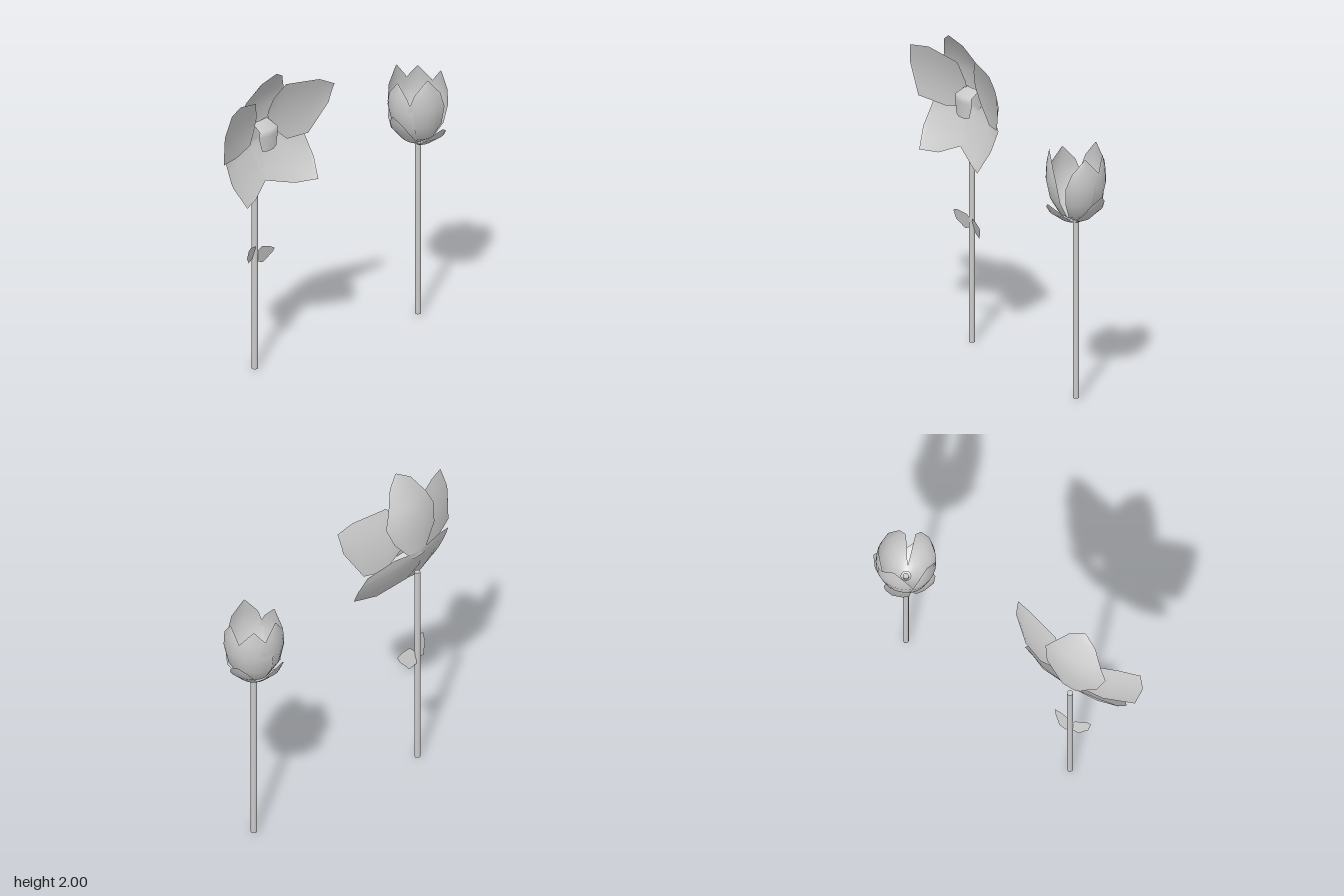
import * as THREE from 'three';

const material = new THREE.MeshStandardMaterial({ color: 0xcccccc, side: THREE.DoubleSide });

// Thin surface lofted across rows; point(row, u) gives [x, y, z] for u in -1..1
function sheet(name, rows, point, cols = 6) {
  const pos = [], index = [];
  rows.forEach((row, i) => {
    for (let j = 0; j <= cols; j++) {
      pos.push(...point(row, (j / cols) * 2 - 1));
      if (i && j) {
        const d = i * (cols + 1) + j, b = d - cols - 1;
        index.push(b - 1, b, d, b - 1, d, d - 1);
      }
    }
  });
  const g = new THREE.BufferGeometry();
  g.setAttribute('position', new THREE.Float32BufferAttribute(pos, 3));
  g.setIndex(index);
  g.computeVertexNormals();
  const mesh = new THREE.Mesh(g, material);
  mesh.name = name;
  return mesh;
}

// Petal whose rows run between two edge points [x, y], given depth by a rule
function openPetal(name, rows, depth) {
  return sheet(name, rows, ([a, b], u) => {
    const t = (u + 1) / 2;
    const x = a[0] + (b[0] - a[0]) * t, y = a[1] + (b[1] - a[1]) * t;
    return [x, y, depth(x, y)];
  });
}

// Cupped petal wrapped round the bud: rows of [height, radius, half width]
function budPetal(name, rows, degrees, stretch = 1) {
  const angle = THREE.MathUtils.degToRad(degrees);
  return sheet(name, rows, ([y, r, half], u) => {
    const a = angle + (u * half) / r;
    return [r * Math.cos(a), y * stretch, r * Math.sin(a)];
  });
}

function stem(name, bottom, top) {
  const mesh = new THREE.Mesh(new THREE.CylinderGeometry(0.019, 0.019, top - bottom, 8), material);
  mesh.position.y = (bottom + top) / 2;
  mesh.name = name;
  return mesh;
}

const mirrorRows = (half) => half.map(([x, y]) => [[-x, y], [x, y]]);

function createOpenFlower() {
  const flower = new THREE.Group();
  flower.name = 'openFlower';
  flower.position.x = -0.53;

  const flowerStem = stem('openFlowerStem', 0, 1.36);
  flowerStem.position.z = -0.18;
  flower.add(flowerStem);

  const head = new THREE.Group();
  head.name = 'openFlowerHead';
  head.position.y = 1.5;
  flower.add(head);

  // Depth rules: the petals form a shallow bowl facing forward
  const topDepth = (x, y) => -0.19 + 1.5 * Math.hypot(x, y) ** 3 + 0.5 * x * x;
  const sideDepth = (x, y) => -0.165 + 0.57 * (x * x + y * y);
  const lowDepth = (x, y) => -0.19 + 1.4 * Math.hypot(x, y) ** 3 + 0.35 * Math.max(0, -y);

  head.add(
    openPetal('topPetal', mirrorRows([[0.05, -0.02], [0.18, 0.13], [0.215, 0.24],
      [0.17, 0.335], [0.095, 0.45], [0.005, 0.5]]), topDepth),
    openPetal('upperLeftPetal', [[[0.08, 0.16], [0.08, 0.19]], [[0.12, 0.07], [0.1, 0.27]],
      [[0.24, -0.04], [0.17, 0.36]], [[0.38, -0.03], [0.4, 0.34]], [[0.49, 0.16], [0.5, 0.29]]], sideDepth),
    openPetal('upperRightPetal', [[[-0.02, 0.14], [-0.02, 0.17]], [[-0.06, 0], [-0.06, 0.29]],
      [[-0.21, -0.03], [-0.27, 0.35]], [[-0.4, 0], [-0.4, 0.34]], [[-0.43, 0.19], [-0.43, 0.22]]], sideDepth),
    openPetal('lowerLeftPetal', [[[-0.05, 0], [-0.06, -0.14]], [[0.05, 0.02], [0, -0.23]],
      [[0.2, 0.04], [0.2, -0.29]], [[0.37, -0.04], [0.34, -0.29]], [[0.375, -0.14], [0.375, -0.17]]], lowDepth),
    openPetal('lowerRightPetal', [[[0.05, 0], [0.06, -0.14]], [[-0.05, 0.02], [0.02, -0.22]],
      [[-0.2, 0.04], [-0.15, -0.295]], [[-0.32, 0.01], [-0.28, -0.3]], [[-0.33, -0.14], [-0.33, -0.17]]], lowDepth),
  );

  // Small lip in the middle, its top edge curling back to the bowl
  const lip = openPetal('lip', mirrorRows([[0.035, -0.035], [0.065, -0.025], [0.085, 0.06],
    [0.08, 0.1], [0.065, 0.14]]), (x, y) => -0.08 - 2 * x * x - 2 * Math.max(0, y - 0.1));
  lip.position.x = 0.03;
  head.add(lip);

  // Pair of little leaves on the stem
  const leafDepth = (x, y) => -0.18 + 0.3 * Math.abs(x) + 0.3 * (y - 0.76);
  flower.add(
    openPetal('leftLeaf', [[[0.01, 0.75], [0.01, 0.77]], [[0.02, 0.7], [0.04, 0.805]],
      [[0.075, 0.68], [0.085, 0.795]], [[0.125, 0.74], [0.135, 0.77]]], leafDepth),
    openPetal('rightLeaf', [[[-0.01, 0.77], [-0.01, 0.8]], [[-0.02, 0.73], [-0.02, 0.82]],
      [[-0.06, 0.715], [-0.09, 0.84]], [[-0.11, 0.77], [-0.115, 0.83]]], leafDepth),
  );
  return flower;
}

function createBudFlower() {
  const flower = new THREE.Group();
  flower.name = 'budFlower';
  flower.position.x = 0.76;
  flower.add(stem('budStem', 0.01, 1.16));

  const head = new THREE.Group();
  head.name = 'budHead';
  head.position.y = 1.14;
  flower.add(head);

  // Tall petals closing into a cup
  const tall = [[0.02, 0.03, 0.03], [0.06, 0.1, 0.08], [0.16, 0.16, 0.12],
    [0.28, 0.185, 0.13], [0.38, 0.18, 0.09], [0.475, 0.165, 0.004]];
  [[117, 1], [17, 0.93], [-42, 0.93], [-95, 1], [187, 0.92]].forEach(([angle, stretch], i) =>
    head.add(budPetal('budPetal' + (i + 1), tall, angle, stretch)));

  // Short sepals flaring outward at the base
  const short = [[0, 0.018, 0.018], [0.03, 0.09, 0.075], [0.1, 0.165, 0.09],
    [0.155, 0.19, 0.06], [0.2, 0.21, 0.004]];
  [[92, 0.75], [-12, 1], [185, 1.15], [262, 1]].forEach(([angle, stretch], i) =>
    head.add(budPetal('sepal' + (i + 1), short, angle, stretch)));
  return flower;
}

export function createModel() {
  const model = new THREE.Group();
  model.name = 'flowers';
  model.add(createOpenFlower(), createBudFlower());
  return model;
}
